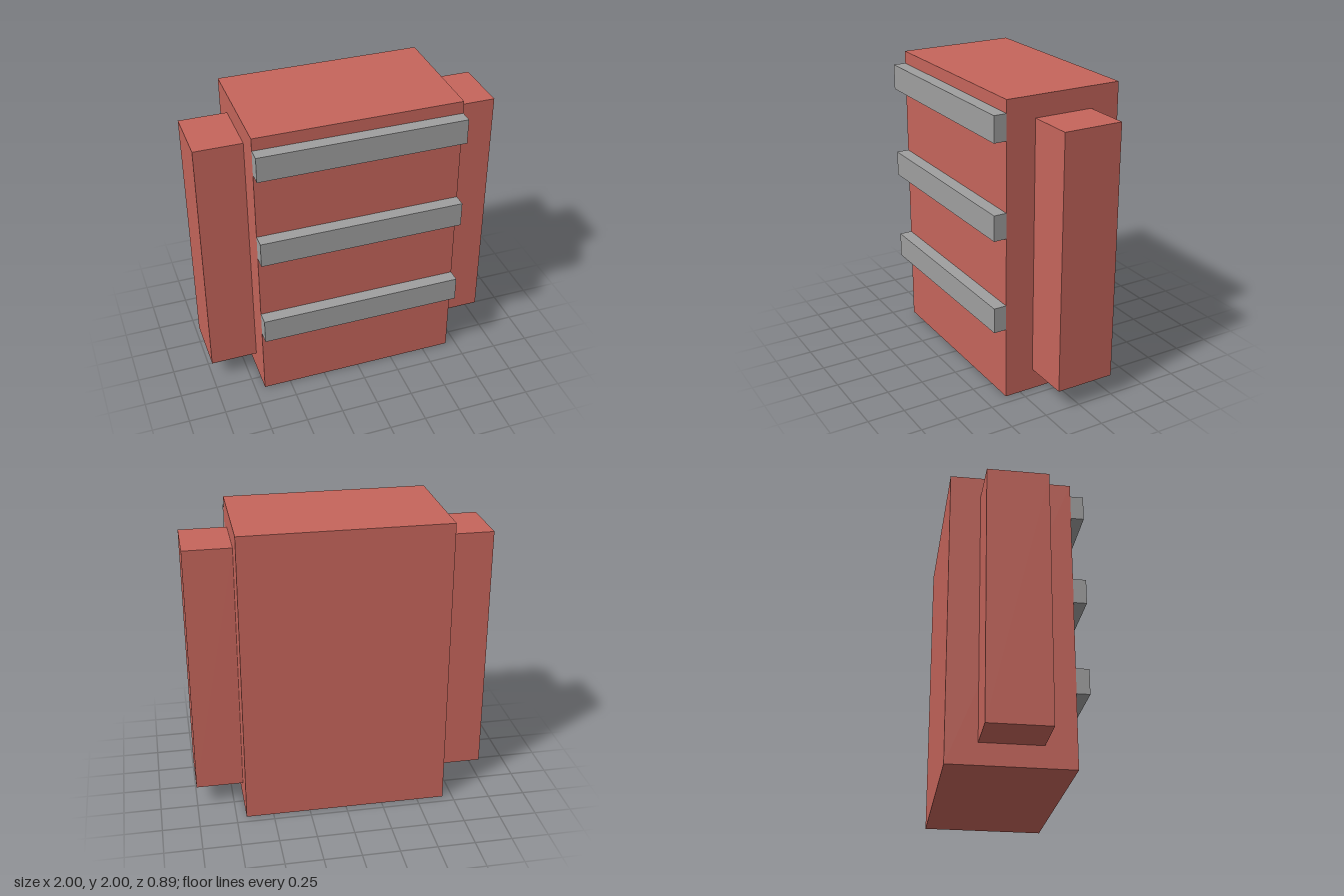
import * as THREE from 'three';

export function createModel() {
  const model = new THREE.Group();
  const red = new THREE.MeshStandardMaterial({ color: 0xc5655b });
  red.name = 'brick red';
  const grey = new THREE.MeshStandardMaterial({ color: 0x9f9f9f });
  grey.name = 'grey';

  // Box given by its size and centre
  const addBox = (name, material, size, centre) => {
    const mesh = new THREE.Mesh(new THREE.BoxGeometry(...size), material);
    mesh.name = name;
    mesh.position.set(...centre);
    model.add(mesh);
  };

  // Main body
  addBox('body', red, [1.366, 2, 0.8], [0, 1, -0.043]);

  // Narrower blocks on both flanks
  for (const side of [-1, 1]) {
    addBox(side > 0 ? 'leftSideBlock' : 'rightSideBlock', red,
      [0.317, 1.714, 0.4], [side * 0.8415, 1, -0.043]);
  }

  // Horizontal bars across the front
  ['lowerBar', 'middleBar', 'upperBar'].forEach((name, i) => {
    addBox(name, grey, [1.366, 0.17, 0.086], [0, 0.575 + i * 0.628, 0.4]);
  });

  return model;
}
